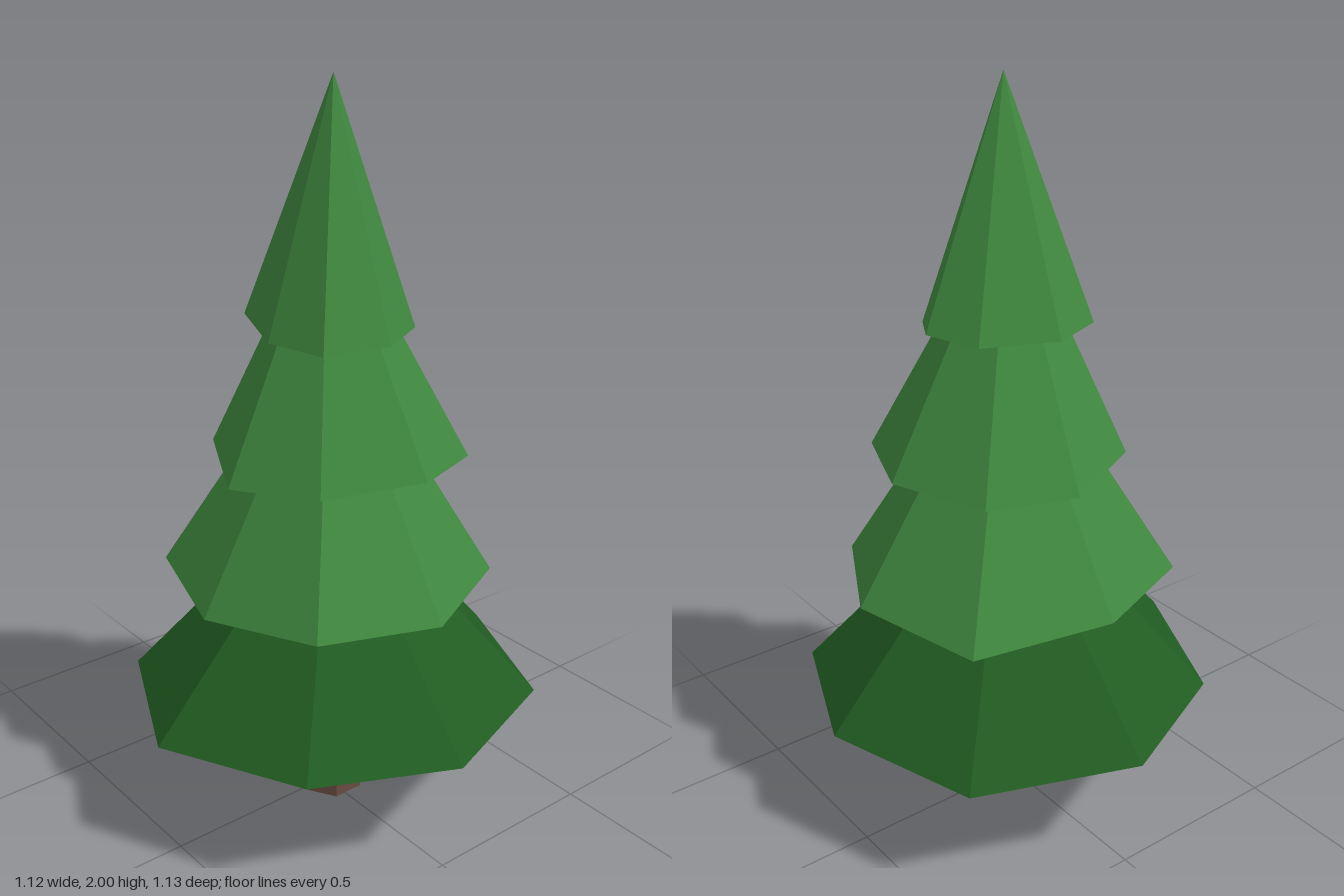
import * as THREE from 'three';

const darkGreen = new THREE.MeshStandardMaterial({ color: 0x215c22 });
const leafGreen = new THREE.MeshStandardMaterial({ color: 0x3f883f });
const barkBrown = new THREE.MeshStandardMaterial({ color: 0x654a40 });

// Irregular eight-sided cone: a tip, a wavy rim (from the back, clockwise seen from above) and a closed underside
function makeTier(name, material, tip, rim) {
  const n = rim.length;
  const centre = [0, 1, 2].map(k => rim.reduce((sum, p) => sum + p[k], 0) / n);
  const positions = [];
  rim.forEach((corner, i) => {
    const next = rim[(i + 1) % n];
    positions.push(...next, ...corner, ...tip);    // sloping side
    positions.push(...centre, ...corner, ...next); // underside
  });
  const geometry = new THREE.BufferGeometry();
  geometry.setAttribute('position', new THREE.Float32BufferAttribute(positions, 3));
  geometry.computeVertexNormals(); // unshared corners give flat facets
  const mesh = new THREE.Mesh(geometry, material);
  mesh.name = name;
  return mesh;
}

export function createModel() {
  const tree = new THREE.Group();
  tree.name = 'pineTree';

  // Tapered hexagonal trunk, running up into the lowest tier
  const trunkGeometry = new THREE.CylinderGeometry(0.06, 0.0875, 0.45, 6).toNonIndexed();
  trunkGeometry.computeVertexNormals();
  const trunk = new THREE.Mesh(trunkGeometry, barkBrown);
  trunk.name = 'trunk';
  trunk.position.set(0.015, 0.225, -0.0125);
  tree.add(trunk);

  // Four tiers of foliage, widest first
  tree.add(makeTier('bottomTier', darkGreen, [0.015, 0.97, -0.01], [
    [0.02, 0.355, -0.57], [0.42, 0.345, -0.405], [0.56, 0.34, 0], [0.405, 0.36, 0.38],
    [0.02, 0.355, 0.565], [-0.39, 0.35, 0.375], [-0.56, 0.35, -0.01], [-0.39, 0.343, -0.43],
  ]));
  tree.add(makeTier('lowerMiddleTier', leafGreen, [0, 1.4, -0.015], [
    [0.03, 0.70, -0.465], [0.315, 0.71, -0.315], [0.445, 0.69, -0.02], [0.34, 0.7, 0.295],
    [0.02, 0.675, 0.41], [-0.3, 0.7, 0.32], [-0.42, 0.7, 0], [-0.315, 0.675, -0.36],
  ]));
  tree.add(makeTier('upperMiddleTier', leafGreen, [0.01, 1.7, 0], [
    [0.015, 1.03, -0.365], [0.26, 1.03, -0.27], [0.36, 1.05, -0.035], [0.265, 1.04, 0.225],
    [0.035, 1.022, 0.335], [-0.22, 1.045, 0.205], [-0.315, 1.02, -0.03], [-0.235, 1.02, -0.26],
  ]));
  tree.add(makeTier('topTier', leafGreen, [0.032, 2, 0], [
    [0.01, 1.4, -0.255], [0.158, 1.375, -0.165], [0.22, 1.365, -0.03], [0.195, 1.37, 0.16],
    [0.035, 1.375, 0.205], [-0.155, 1.395, 0.14], [-0.205, 1.39, -0.005], [-0.125, 1.39, -0.195],
  ]));

  return tree;
}
